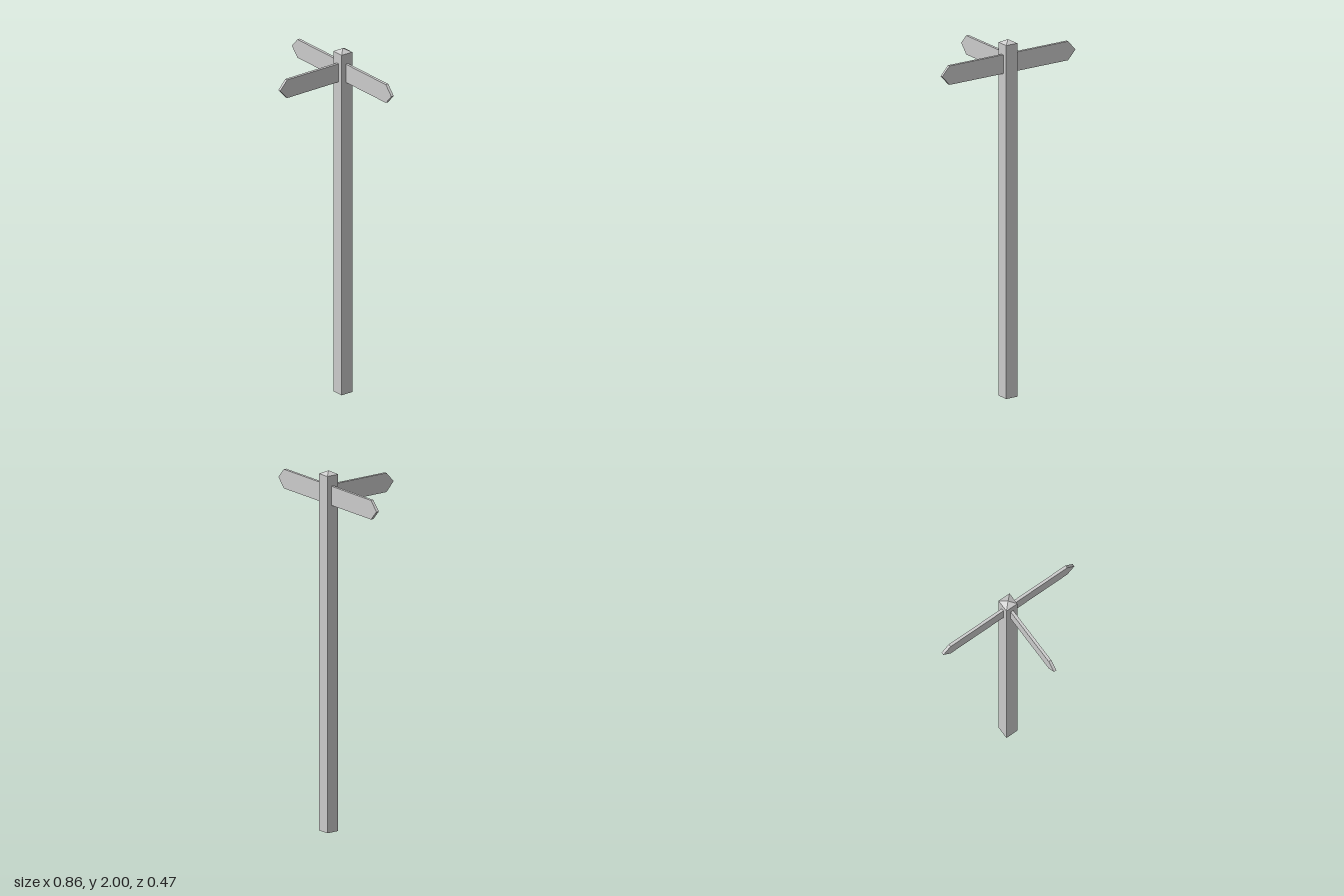
import * as THREE from 'three';

const POST = 0.072, POST_TOP = 1.98, POST_Z = -0.198;
const BOARD_Y = 1.868, BOARD_HALF = 0.053, BOARD_THICK = 0.016;
const SHOULDER = 0.383, TIP = 0.431;

export function createModel() {
  const model = new THREE.Group();
  model.name = 'signpost';
  const material = new THREE.MeshStandardMaterial({ color: 0xcccccc, flatShading: true });

  const add = (name, geometry, y, turn = 0) => {
    const mesh = new THREE.Mesh(geometry, material);
    mesh.name = name;
    mesh.position.set(0, y, POST_Z);
    mesh.rotation.y = turn;
    model.add(mesh);
  };

  // Square post with a low pyramid cap
  add('post', new THREE.BoxGeometry(POST, POST_TOP, POST), POST_TOP / 2);
  const cap = new THREE.ConeGeometry(POST / Math.SQRT2, 2 - POST_TOP, 4, 1, true);
  cap.rotateY(Math.PI / 4);
  add('postCap', cap, (POST_TOP + 2) / 2);

  // Pointed board with a blunt tip, starting just inside the post
  const outline = new THREE.Shape([
    [0.03, -BOARD_HALF], [SHOULDER, -BOARD_HALF], [TIP, 0],
    [SHOULDER, BOARD_HALF], [0.03, BOARD_HALF],
  ].map(([x, y]) => new THREE.Vector2(x, y)));
  const board = new THREE.ExtrudeGeometry(outline, { depth: BOARD_THICK, bevelEnabled: false });
  board.translate(0, 0, -BOARD_THICK / 2);

  // Boards to the left, right and front
  add('leftBoard', board, BOARD_Y, 0);
  add('rightBoard', board, BOARD_Y, Math.PI);
  add('frontBoard', board, BOARD_Y, -Math.PI / 2);

  return model;
}
